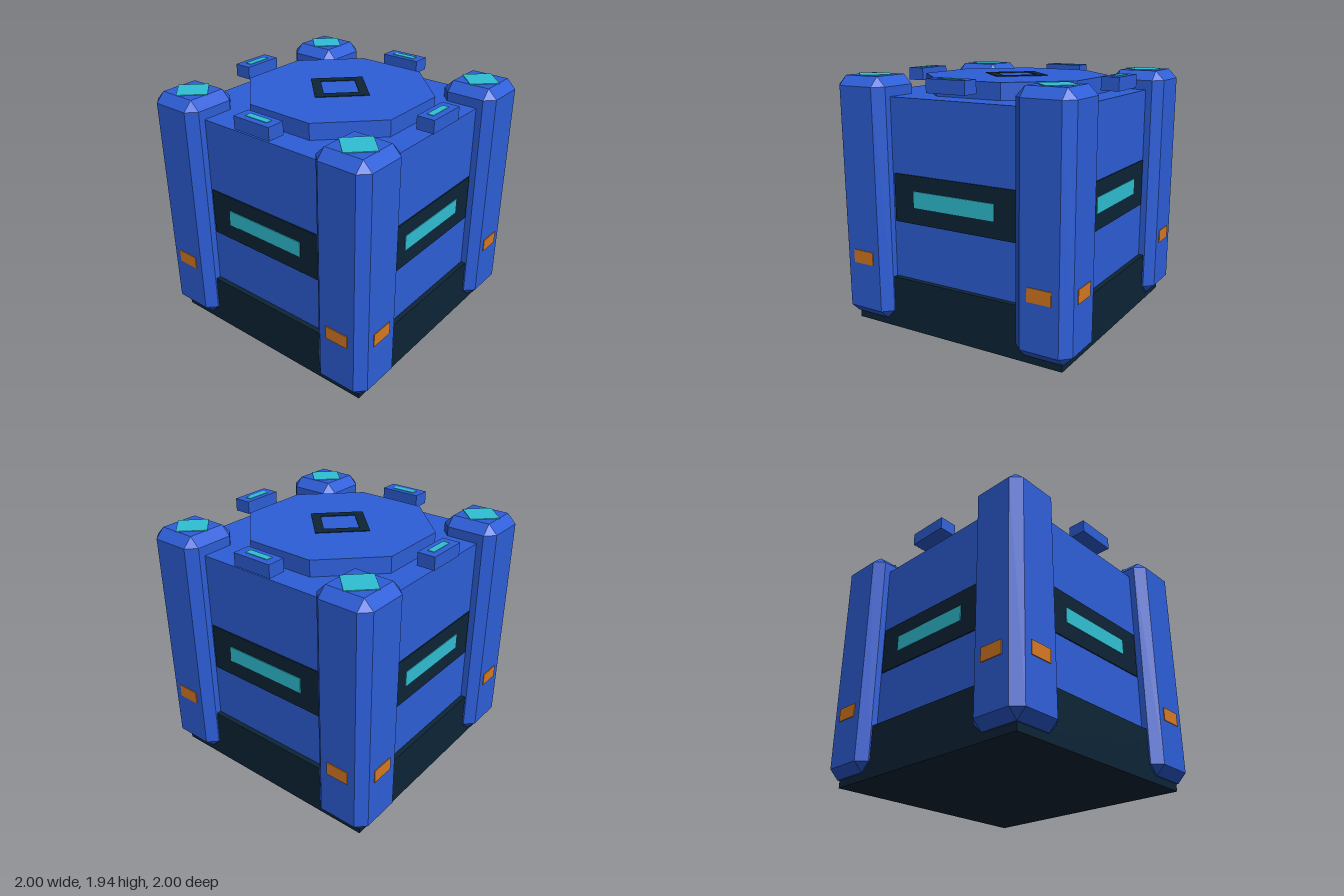
import * as THREE from 'three';
import { ConvexGeometry } from 'three/addons/geometries/ConvexGeometry.js';

const material = (name, color) => {
  const m = new THREE.MeshStandardMaterial({ color });
  m.name = name;
  return m;
};

// Box with every edge and corner cut flat
function chamferedBox(w, h, d, c) {
  const points = [];
  const [a, b, e] = [w / 2, h / 2, d / 2];
  for (const x of [-1, 1]) for (const y of [-1, 1]) for (const z of [-1, 1]) {
    points.push(
      new THREE.Vector3(x * a, y * (b - c), z * (e - c)),
      new THREE.Vector3(x * (a - c), y * b, z * (e - c)),
      new THREE.Vector3(x * (a - c), y * (b - c), z * e));
  }
  return new ConvexGeometry(points);
}

// Diamond outline with its tips on the axes
const diamondPoints = r => [[r, 0], [0, r], [-r, 0], [0, -r]].map(([x, y]) => new THREE.Vector2(x, y));

// Thin flat plate lying face up, with an optional diamond hole
function diamondPlate(r, hole) {
  const shape = new THREE.Shape(diamondPoints(r));
  if (hole) shape.holes.push(new THREE.Path(diamondPoints(hole).reverse()));
  return new THREE.ExtrudeGeometry(shape, { depth: 0.006, bevelEnabled: false }).rotateX(-Math.PI / 2);
}

export function createModel() {
  const blue = material('blue paint', 0x2e5fd9);
  const dark = material('dark navy', 0x0d2436);
  const cyan = material('cyan light', 0x2fc0d4);
  const orange = material('orange marker', 0xd87a22);

  const model = new THREE.Group();
  model.name = 'crate';
  const add = (parent, name, geometry, mat, x, y, z) => {
    const mesh = new THREE.Mesh(geometry, mat);
    mesh.name = name;
    mesh.position.set(x, y, z);
    parent.add(mesh);
    return mesh;
  };
  const box = (w, h, d) => new THREE.BoxGeometry(w, h, d);

  // Base and body
  add(model, 'base', box(1.82, 0.41, 1.82), dark, 0, 0.205, 0);
  add(model, 'body', box(1.74, 1.375, 1.74), blue, 0, 1.0975, 0);

  // Octagonal lid with a diamond ring
  const lid = new THREE.CylinderGeometry(0.727, 0.727, 0.13, 8).rotateY(Math.PI / 8).toNonIndexed();
  lid.computeVertexNormals();
  add(model, 'lid', lid, blue, 0, 1.845, 0);
  add(model, 'lidDiamondRing', diamondPlate(0.285, 0.185), dark, 0, 1.909, 0);

  // Each side: recessed-look panel, light bar and floating top clip
  const pillarShape = chamferedBox(0.446, 1.87, 0.446, 0.072);
  for (let i = 0; i < 4; i++) {
    const side = new THREE.Group();
    side.name = 'side' + (i + 1);
    side.rotation.y = i * Math.PI / 2;
    model.add(side);
    add(side, 'panel', box(1.06, 0.37, 0.009), dark, 0, 1.035, 0.874);
    add(side, 'lightBar', box(0.7, 0.125, 0.009), cyan, 0, 1.04, 0.88);
    add(side, 'topClip', box(0.325, 0.1, 0.14), blue, 0, 1.888, 0.87);
    add(side, 'clipLight', box(0.2, 0.006, 0.052), cyan, 0, 1.939, 0.866);

    // Corner pillar with a diamond light on top
    add(side, 'cornerPillar', pillarShape, blue, 0.77, 0.995, 0.77);
    add(side, 'pillarLight', diamondPlate(0.16), cyan, 0.77, 1.929, 0.77);

    // Markers on the two pillars of this side
    for (const s of [-1, 1]) {
      add(side, 'marker', box(0.185, 0.104, 0.009), orange, s * 0.77, 0.55, 0.9945);
    }
  }
  return model;
}
